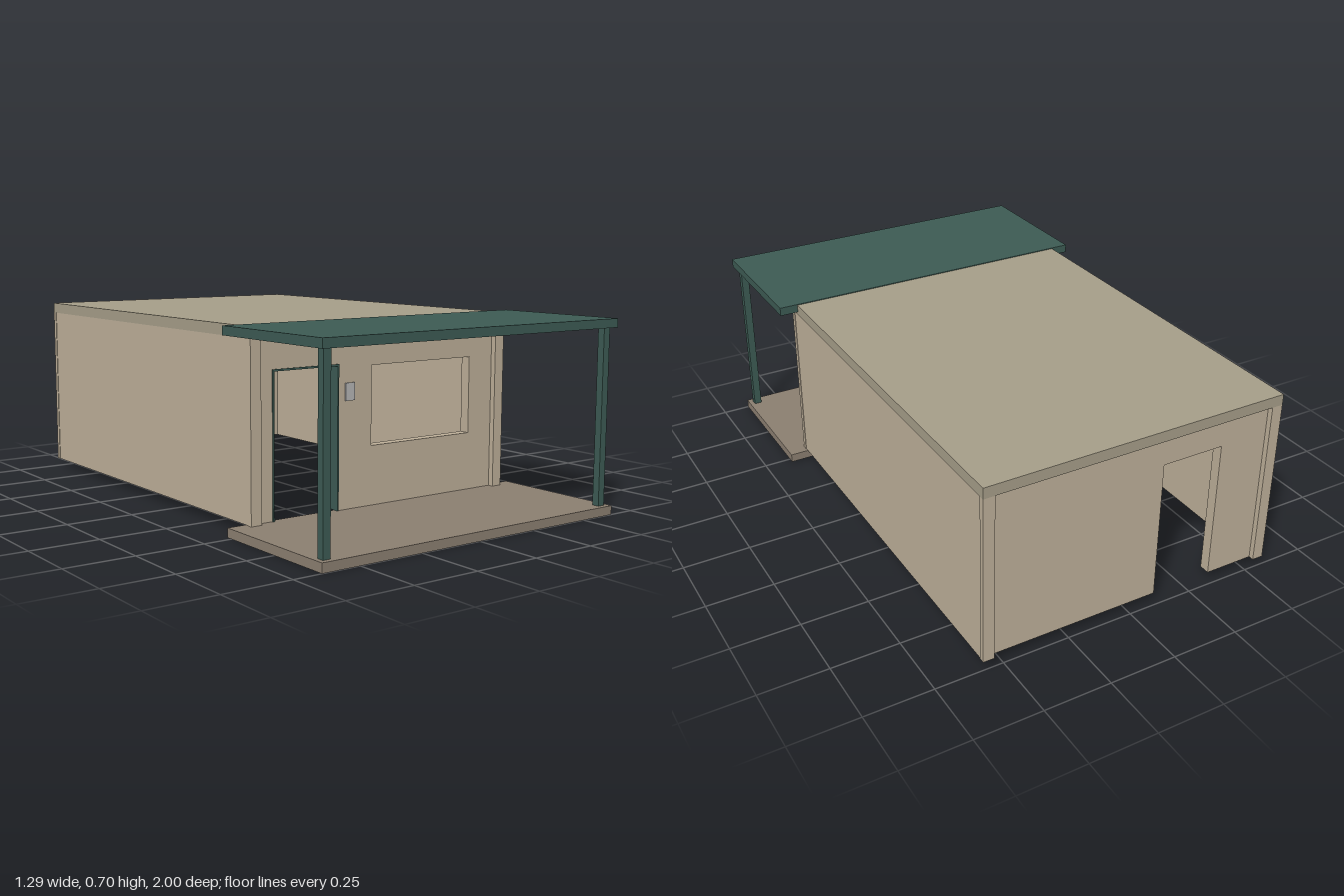
import * as THREE from 'three';

const mat = (color) => new THREE.MeshStandardMaterial({ color });

export function createModel() {
  const group = new THREE.Group();
  const wall = mat(0xbcae98), roofTan = mat(0xa59d88), stone = mat(0x8a7e70);
  const green = mat(0x3c5a53), plate = mat(0xb4b4b4);

  // Box given by its extents on each axis
  const box = (name, m, [x0, x1], [y0, y1], [z0, z1]) => {
    const mesh = new THREE.Mesh(new THREE.BoxGeometry(x1 - x0, y1 - y0, z1 - z0), m);
    mesh.position.set((x0 + x1) / 2, (y0 + y1) / 2, (z0 + z1) / 2);
    mesh.name = name;
    group.add(mesh);
  };

  const base = 0.033, eave = 0.66, thick = 0.04;
  const front = 0.492, back = -0.98, halfW = 0.573;

  // Wall panel in the xy plane; a doorway notches the bottom edge, a window is a hole
  const panel = (name, z, door, win) => {
    const w = halfW - thick;
    const s = new THREE.Shape();
    s.moveTo(-w, base);
    s.lineTo(door.x0, base);
    s.lineTo(door.x0, door.top);
    s.lineTo(door.x1, door.top);
    s.lineTo(door.x1, base);
    s.lineTo(w, base);
    s.lineTo(w, eave);
    s.lineTo(-w, eave);
    if (win) {
      const h = new THREE.Path();
      h.moveTo(win.x0, win.y0);
      h.lineTo(win.x0, win.y1);
      h.lineTo(win.x1, win.y1);
      h.lineTo(win.x1, win.y0);
      h.closePath();
      s.holes.push(h);
    }
    const mesh = new THREE.Mesh(new THREE.ExtrudeGeometry(s, { depth: thick, bevelEnabled: false }), wall);
    mesh.position.z = z;
    mesh.name = name;
    group.add(mesh);
  };

  const door = { x0: -0.475, x1: -0.197, top: 0.55 };
  panel('frontWall', front - thick, door, { x0: -0.05, x1: 0.419, y0: 0.25, y1: 0.538 });
  panel('backWall', back, { x0: -0.345, x1: -0.11, top: 0.555 });

  // Side walls, corner trims and porch posts, mirrored
  for (const s of [-1, 1]) {
    const side = s < 0 ? 'right' : 'left';
    const mirror = (a, b) => (s < 0 ? [-b, -a] : [a, b]);
    const edge = mirror(halfW - thick, halfW);
    box(side + 'Wall', wall, edge, [base, eave], [back, front]);
    box(side + 'FrontCornerTrim', wall, mirror(halfW - thick, halfW + 0.002), [base, eave], [front, 0.513]);
    box(side + 'BackCornerTrim', wall, mirror(halfW - thick, halfW + 0.002), [base, eave], [-1, back]);
    box(side + 'PorchPost', green, mirror(0.598, 0.627), [base, 0.671], [0.953, 0.98]);
  }

  // Roofs and porch floor
  box('mainRoof', roofTan, [-0.575, 0.575], [eave, 0.7], [-1, 0.513]);
  box('porchRoof', green, [-0.645, 0.645], [0.671, 0.703], [0.453, 1]);
  box('porchFloor', stone, [-0.645, 0.645], [0, base], [0.476, 1]);

  // Lining of the front doorway
  const t = 0.006, depth = [front - thick - 0.003, front + 0.004];
  box('doorJambRight', green, [door.x0, door.x0 + t], [base, door.top], depth);
  box('doorJambLeft', green, [door.x1 - t, door.x1], [base, door.top], depth);
  box('doorHead', green, [door.x0, door.x1], [door.top - t, door.top + 0.001], depth);

  // Small plain plate beside the door
  box('wallPlate', plate, [-0.168, -0.128], [0.42, 0.483], [front, front + 0.004]);

  return group;
}
